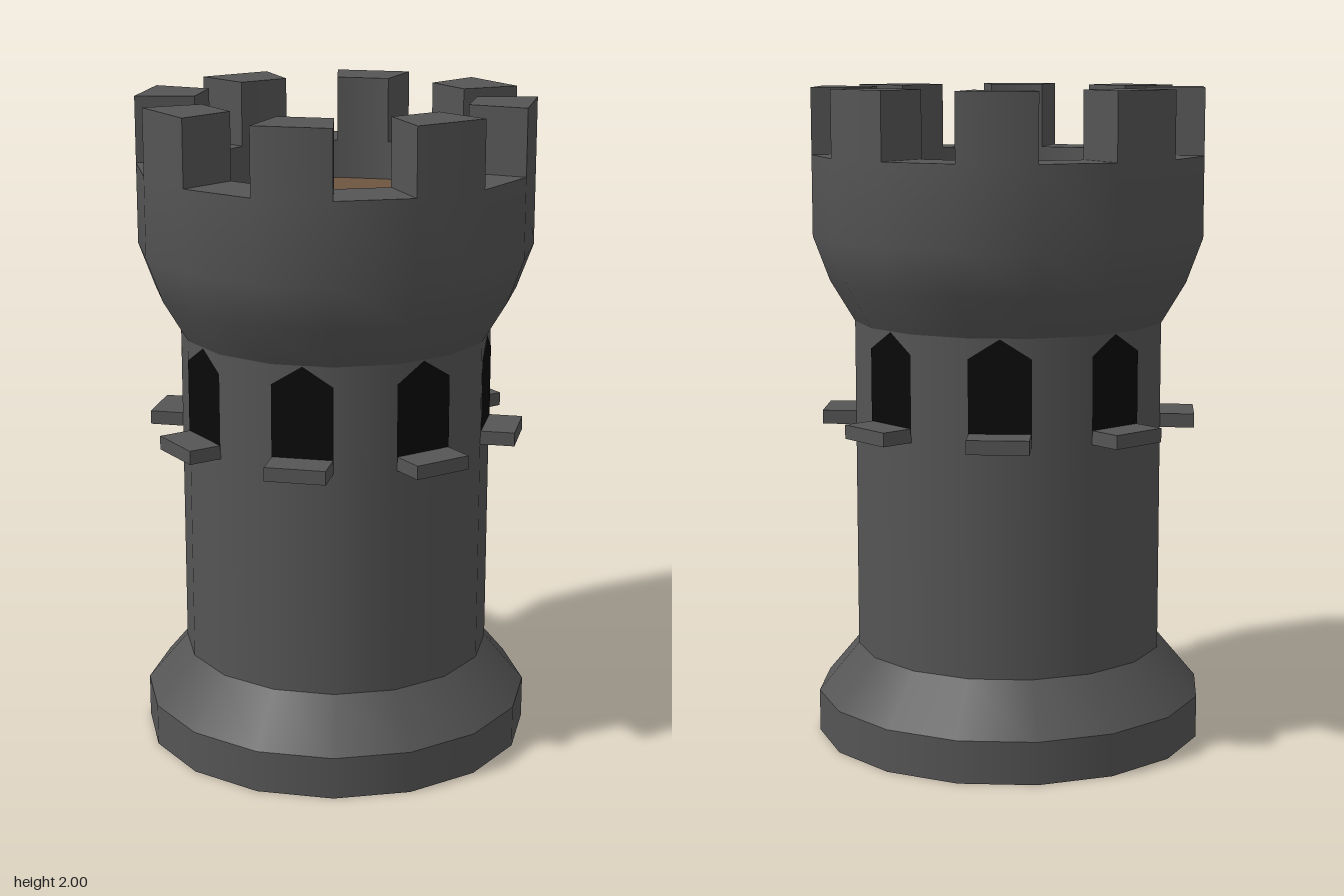
import * as THREE from 'three';

const SIDES = 16, STEP = (Math.PI * 2) / SIDES, HALF = STEP / 2;
const RIM = 0.6, INNER = 0.42, SHAFT = 0.475;

const stone = new THREE.MeshStandardMaterial({ color: 0x555555 });
const wood = new THREE.MeshStandardMaterial({ color: 0x6e5540 });
const dark = new THREE.MeshStandardMaterial({ color: 0x090909 });

// Straight-sided wedge covering one side of the polygon, with rounded shading on its curved walls
function merlonGeometry(y0, y1) {
  const s = Math.sin(HALF), c = Math.cos(HALF);
  const shape = new THREE.Shape([
    new THREE.Vector2(-INNER * s, -INNER * c),
    new THREE.Vector2(-RIM * s, -RIM * c),
    new THREE.Vector2(RIM * s, -RIM * c),
    new THREE.Vector2(INNER * s, -INNER * c),
  ]);
  const geo = new THREE.ExtrudeGeometry(shape, { depth: y1 - y0, bevelEnabled: false });
  geo.rotateX(-Math.PI / 2).translate(0, y0, 0);
  const pos = geo.attributes.position, nor = geo.attributes.normal;
  for (let i = 0; i < pos.count; i++) {
    const radial = new THREE.Vector3(pos.getX(i), 0, pos.getZ(i)).normalize();
    const facing = radial.dot(new THREE.Vector3().fromBufferAttribute(nor, i));
    if (Math.abs(facing) > 0.9) {
      radial.multiplyScalar(Math.sign(facing));
      nor.setXYZ(i, radial.x, radial.y, radial.z);
    }
  }
  return geo;
}

export function createModel() {
  const tower = new THREE.Group();
  tower.name = 'tower';

  const add = (name, geo, mat, parent = tower) => {
    const mesh = new THREE.Mesh(geo, mat);
    mesh.name = name;
    parent.add(mesh);
    return mesh;
  };

  // Stacked rings; separate profiles keep the edges between them sharp
  const ring = (name, profile, mat = stone) =>
    add(name, new THREE.LatheGeometry(profile.map(([r, y]) => new THREE.Vector2(r, y)), SIDES), mat);

  ring('underside', [[0, 0], [RIM, 0]]);
  ring('plinth', [[RIM, 0], [RIM, 0.13]]);
  ring('plinthSlope', [[RIM, 0.13], [SHAFT, 0.28]]);
  ring('shaft', [[SHAFT, 0.28], [SHAFT, 1.295]]);
  ring('flaredHead', [[SHAFT, 1.295], [0.55, 1.42], [RIM, 1.555], [RIM, 1.8]]);
  ring('parapetTop', [[RIM, 1.8], [INNER, 1.8]]);
  ring('parapetInside', [[INNER, 1.8], [INNER, 1.68]]);
  ring('woodenFloor', [[INNER, 1.68], [0, 1.68]], wood);

  // Pointed window panel as wide as one side of the shaft
  const w = SHAFT * Math.sin(HALF);
  const windowGeo = new THREE.ShapeGeometry(new THREE.Shape([
    new THREE.Vector2(-w, 1), new THREE.Vector2(w, 1), new THREE.Vector2(w, 1.235),
    new THREE.Vector2(0, 1.293), new THREE.Vector2(-w, 1.235),
  ])).translate(0, 0, SHAFT * Math.cos(HALF) + 0.002);
  const sillGeo = new THREE.BoxGeometry(0.182, 0.042, 0.12).translate(0, 0.995, 0.51);
  const merlonGeo = merlonGeometry(1.8, 2);

  // Every second side carries a window, its sill and a merlon
  for (let i = 0; i < SIDES; i += 2) {
    const bay = new THREE.Group();
    bay.name = `bay${i / 2 + 1}`;
    bay.rotation.y = i * STEP + HALF;
    add('window', windowGeo, dark, bay);
    add('windowSill', sillGeo, stone, bay);
    add('merlon', merlonGeo, stone, bay);
    tower.add(bay);
  }
  return tower;
}
